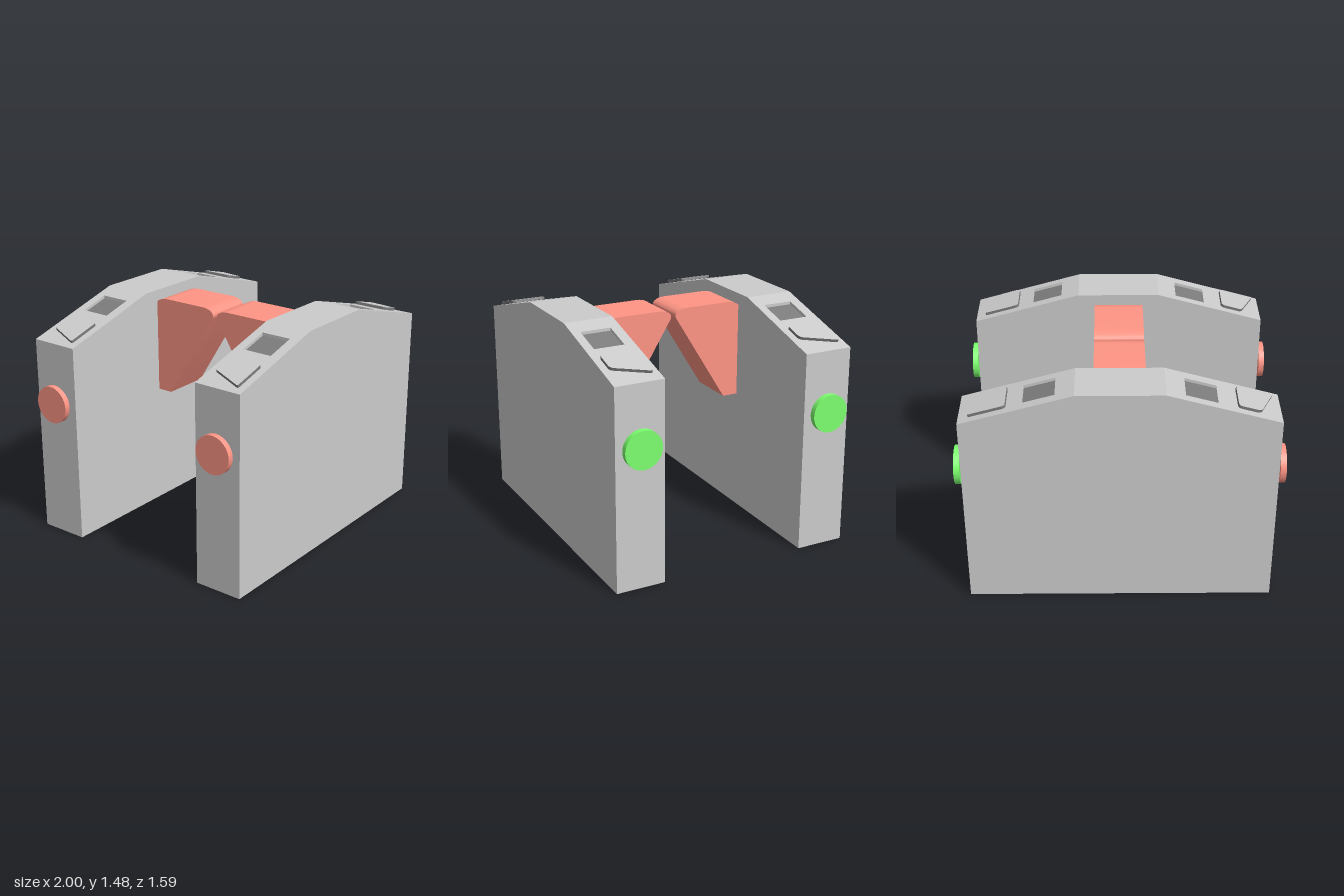
import * as THREE from 'three';
import { toCreasedNormals } from 'three/addons/utils/BufferGeometryUtils.js';

const mat = (color) => new THREE.MeshStandardMaterial({ color });
const grey = mat(0xcccccc);
const pale = mat(0xe8e8e8);
const dark = mat(0x7c7c7c);
const red = mat(0xff9585);
const green = mat(0x7dff6f);

// Cabinet measures: half length, depth, shoulder, ridge and recess depth
const HALF = 0.95, DEPTH = 0.318, EAVE = 1.285, RIDGE = 1.475, RIDGE_X = 0.265, RECESS = 0.025;
const SLOPE = (RIDGE - EAVE) / (HALF - RIDGE_X);

function mesh(name, geometry, material) {
  const m = new THREE.Mesh(geometry, material);
  m.name = name;
  return m;
}

const polygon = (pts) => new THREE.Shape(pts.map(([x, y]) => new THREE.Vector2(x, y)));

// Polygon with each corner rounded by a quadratic curve; corners are [x, y, radius]
function roundedPolygon(corners) {
  const shape = new THREE.Shape();
  corners.forEach(([x, y, r], i) => {
    const n = corners.length;
    const p = new THREE.Vector2(x, y);
    const toward = (q) => new THREE.Vector2(q[0], q[1]).sub(p).setLength(r).add(p);
    const a = toward(corners[(i + n - 1) % n]);
    const b = toward(corners[(i + 1) % n]);
    if (i === 0) shape.moveTo(a.x, a.y);
    else shape.lineTo(a.x, a.y);
    shape.quadraticCurveTo(x, y, b.x, b.y);
  });
  shape.closePath();
  return shape;
}

// Plan shape (x, -z) raised by a height
function slab(shape, height) {
  return new THREE.ExtrudeGeometry(shape, { depth: height, bevelEnabled: false, curveSegments: 5 })
    .rotateX(-Math.PI / 2);
}

// Lean a slab so that it follows the sloping top
function lean(geometry, baseY) {
  const p = geometry.attributes.position;
  for (let i = 0; i < p.count; i++) {
    p.setY(i, p.getY(i) + baseY - SLOPE * (p.getX(i) - RIDGE_X));
  }
  geometry.computeVertexNormals();
  return geometry;
}

// One sloping end: cover with a window, screen, card pad and signal lamp
function createEnd(lampMaterial, padX) {
  const end = new THREE.Group();
  const d = DEPTH / 2;
  const [x0, x1, s0, s1] = [0.38, 0.57, -0.103, 0.092];

  const plan = polygon([[RIDGE_X, -d], [HALF, -d], [HALF, d], [RIDGE_X, d]]);
  const windowPts = [[x0, s0], [x0, s1], [x1, s1], [x1, s0]];
  plan.holes.push(polygon(windowPts));
  end.add(mesh('slopingCover', lean(slab(plan, RECESS), RIDGE - RECESS), grey));
  end.add(mesh('screen', lean(slab(polygon(windowPts), 0.006), RIDGE - RECESS), dark));

  // Pad tapers toward the lower end on one side
  const padShape = roundedPolygon([
    [-0.114, -0.115, 0.025], [0.025, -0.115, 0.025], [0.12, 0.115, 0.015], [-0.114, 0.115, 0.025],
  ]);
  const pad = mesh('cardPad', slab(padShape, 0.018), [pale, dark]);
  pad.position.set(padX, RIDGE - SLOPE * (padX - RIDGE_X) + 0.004, 0);
  pad.rotation.z = -Math.atan(SLOPE);
  end.add(pad);

  const lamp = mesh('signalLamp', new THREE.CylinderGeometry(0.12, 0.12, 0.037, 40), lampMaterial);
  lamp.rotation.z = Math.PI / 2;
  lamp.position.set(0.9815, 0.897, 0);
  end.add(lamp);
  return end;
}

function createCabinet() {
  const cabinet = new THREE.Group();
  const right = [[HALF, 0], [HALF, EAVE - RECESS], [RIDGE_X, RIDGE - RECESS], [RIDGE_X, RIDGE]];
  const left = right.map(([x, y]) => [-x, y]).reverse();
  const body = new THREE.ExtrudeGeometry(polygon([...right, ...left]), { depth: DEPTH, bevelEnabled: false });
  cabinet.add(mesh('cabinetBody', body.translate(0, 0, -DEPTH / 2), grey));

  const greenEnd = createEnd(green, 0.775);
  greenEnd.name = 'greenEnd';
  const redEnd = createEnd(red, 0.795);
  redEnd.name = 'redEnd';
  redEnd.rotation.y = Math.PI;
  cabinet.add(greenEnd, redEnd);
  return cabinet;
}

// Barrier flap, its tip pointing along -x of the profile
function createFlap() {
  const s = new THREE.Shape();
  s.moveTo(0.5, 0.79);
  s.lineTo(0.375, 0.79);
  s.lineTo(0.022, 1.365);
  s.bezierCurveTo(0, 1.4, 0.04, 1.428, 0.1, 1.428);
  s.lineTo(0.385, 1.428);
  s.quadraticCurveTo(0.44, 1.428, 0.475, 1.402);
  s.lineTo(0.5, 1.38);
  s.closePath();
  const g = new THREE.ExtrudeGeometry(s, { depth: 0.315, bevelEnabled: false, curveSegments: 16 });
  g.translate(0, 0, -0.1575).rotateY(-Math.PI / 2);
  return mesh('barrierFlap', toCreasedNormals(g, 0.5), red);
}

export function createModel() {
  const model = new THREE.Group();
  model.name = 'flapBarrierGate';
  for (const side of [1, -1]) {
    const cabinet = createCabinet();
    cabinet.name = side > 0 ? 'frontCabinet' : 'backCabinet';
    cabinet.position.z = side * 0.636;
    model.add(cabinet);

    const flap = createFlap();
    flap.name = side > 0 ? 'frontFlap' : 'backFlap';
    if (side < 0) flap.rotation.y = Math.PI;
    model.add(flap);
  }
  return model;
}
